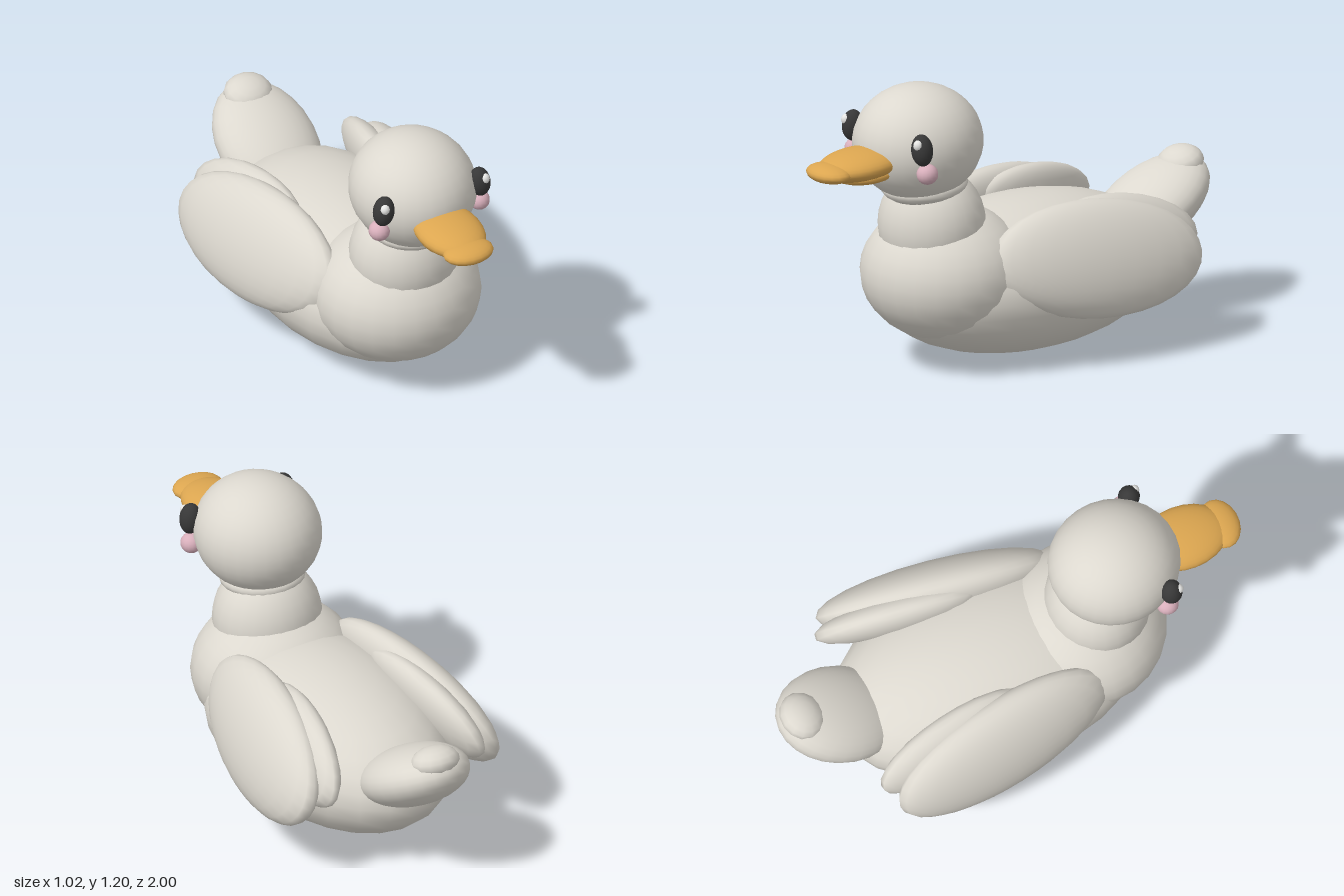
import * as THREE from 'three';

function material(name, color) {
  const m = new THREE.MeshStandardMaterial({ color });
  m.name = name;
  return m;
}

export function createModel() {
  const duck = new THREE.Group();
  duck.name = 'duck';

  const plumage = material('plumage', 0xdcd8cf);
  const orange = material('billOrange', 0xdca650);
  const black = material('eyeBlack', 0x383838);
  const white = material('eyeWhite', 0xf2f2f0);
  const pink = material('cheekPink', 0xd9b0bc);

  // Ellipsoid with given centre, radii and pitch / yaw / roll
  function ellipsoid(name, mat, centre, radii, rot = [0, 0, 0], detail = 24) {
    const geo = new THREE.SphereGeometry(1, detail, Math.round(detail * 0.67));
    geo.scale(...radii);
    const mesh = new THREE.Mesh(geo, mat);
    mesh.name = name;
    mesh.position.set(...centre);
    mesh.rotation.set(rot[0], rot[1], rot[2], 'YXZ');
    duck.add(mesh);
  }

  // The same ellipsoid on the left (+x) and mirrored on the right
  function pair(name, mat, [x, y, z], radii, [pitch, yaw, roll] = [0, 0, 0], detail = 24) {
    for (const s of [1, -1]) {
      const label = (s > 0 ? 'left' : 'right') + name;
      ellipsoid(label, mat, [s * x, y, z], radii, [pitch, s * yaw, s * roll], detail);
    }
  }

  // Body, chest, neck and head
  ellipsoid('body', plumage, [0, 0.312, -0.08], [0.42, 0.31, 0.68]);
  ellipsoid('chest', plumage, [0, 0.39, 0.32], [0.345, 0.28, 0.34]);
  ellipsoid('neck', plumage, [0, 0.6, 0.385], [0.225, 0.24, 0.215]);
  ellipsoid('collar', plumage, [0, 0.775, 0.425], [0.175, 0.07, 0.178], [0.08, 0, 0]);
  ellipsoid('head', plumage, [0, 0.962, 0.458], [0.256, 0.236, 0.27], [0, 0, 0], 28);

  // Upturned tail with a small tip
  ellipsoid('tail', plumage, [0, 0.455, -0.742], [0.21, 0.125, 0.29], [0.5, 0, 0]);
  ellipsoid('tailTip', plumage, [0, 0.605, -0.9], [0.103, 0.062, 0.093], [0.3, 0, 0], 14);

  // Folded wings, each with an inner feather lobe
  pair('Wing', plumage, [0.358, 0.427, -0.175], [0.112, 0.242, 0.49], [-0.09, -0.165, 0.35]);
  pair('WingFeather', plumage, [0.295, 0.485, -0.36], [0.08, 0.16, 0.35], [-0.17, -0.16, 0.3], 18);

  // Bill
  ellipsoid('upperBill', orange, [0, 0.925, 0.76], [0.135, 0.06, 0.19], [0.04, 0, 0]);
  ellipsoid('billTip', orange, [0, 0.917, 0.918], [0.108, 0.038, 0.08], [0, 0, 0], 18);
  ellipsoid('lowerBill', orange, [0, 0.882, 0.74], [0.11, 0.037, 0.14], [0, 0, 0], 18);

  // Face details
  pair('Eye', black, [0.22, 1.005, 0.615], [0.044, 0.066, 0.045], [0, 0.3, 0.12], 18);
  pair('EyeHighlight', white, [0.229, 1.032, 0.643], [0.02, 0.023, 0.02], [0, 0, 0], 12);
  pair('Cheek', pink, [0.229, 0.903, 0.595], [0.043, 0.042, 0.045], [0, 0, 0], 16);

  return duck;
}
